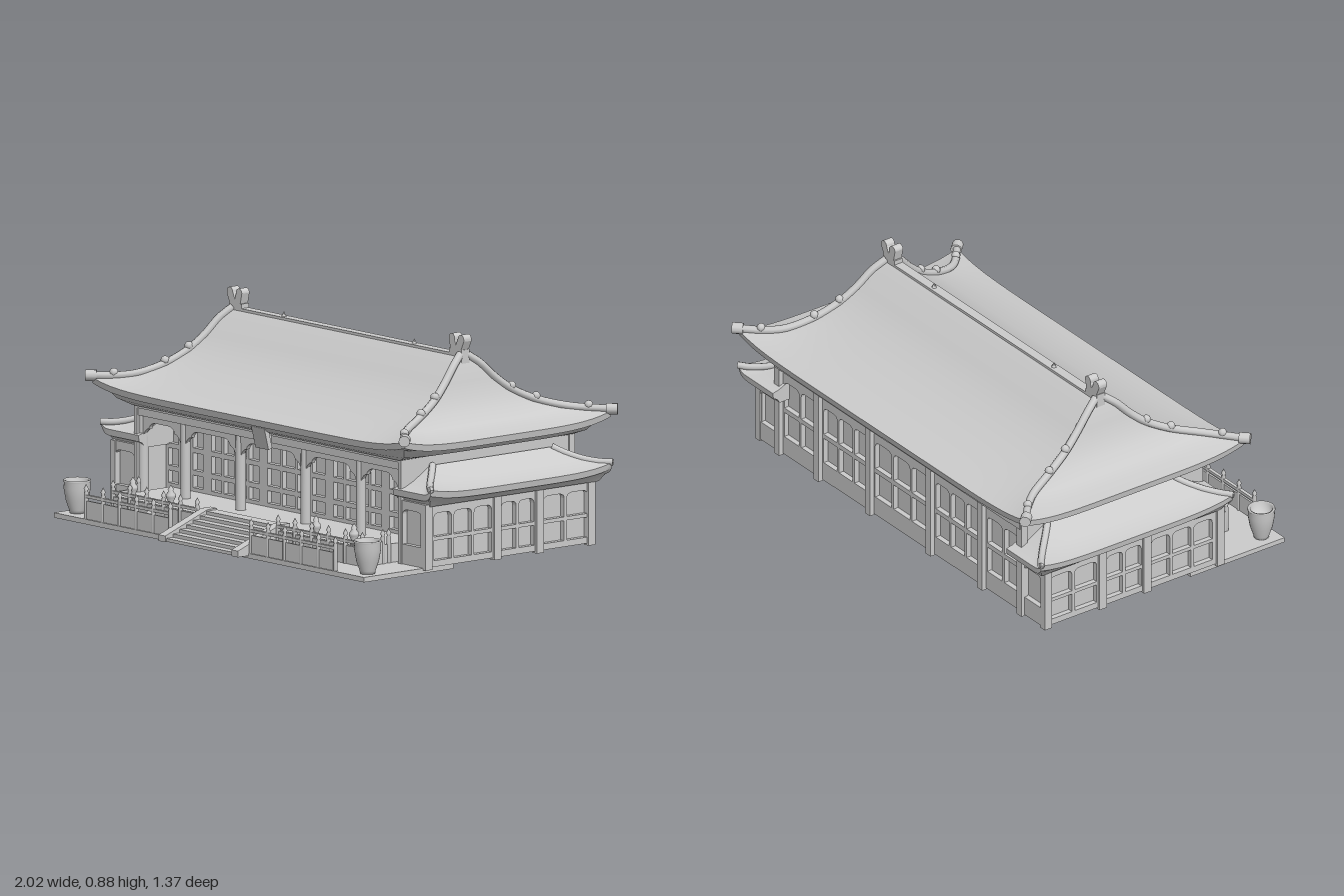
import * as THREE from 'three';
import { toCreasedNormals } from 'three/addons/utils/BufferGeometryUtils.js';

const mat = new THREE.MeshStandardMaterial({ color: 0xcccccc, side: THREE.DoubleSide });

function add(parent, name, geo, x = 0, y = 0, z = 0, ry = 0) {
  const m = new THREE.Mesh(geo, mat);
  m.name = name;
  m.position.set(x, y, z);
  m.rotation.y = ry;
  parent.add(m);
  return m;
}

// box given by its min and max corners
function box(parent, name, x0, x1, y0, y1, z0, z1) {
  return add(parent, name, new THREE.BoxGeometry(Math.abs(x1 - x0), y1 - y0, z1 - z0),
    (x0 + x1) / 2, (y0 + y1) / 2, (z0 + z1) / 2);
}

// rectangular loops joined top to bottom; corners sweep upward by each loop's lift
// ring: [x0, x1, z0, z1, y, lift]; side 0 lifts all corners, +1/-1 only that x side
function loopRoof(rings, side = 0, n = 20) {
  const pos = [], idx = [], count = 4 * n;
  for (const [xa, xb, z0, z1, y, lift] of rings) {
    const x0 = Math.min(xa, xb), x1 = Math.max(xa, xb);
    for (let j = 0; j < count; j++) {
      const t = (j % n) / n * 2 - 1, e = Math.floor(j / n);
      const [u, v] = [[t, 1], [1, -t], [-t, -1], [-1, t]][e];
      const uu = side ? Math.max(0, u * side) : Math.abs(u);
      pos.push(x0 + (u + 1) / 2 * (x1 - x0), y + lift * uu ** 8 * Math.abs(v) ** 5, z0 + (v + 1) / 2 * (z1 - z0));
    }
  }
  for (let i = 0; i < rings.length - 1; i++) for (let j = 0; j < count; j++) {
    const a = i * count + j, b = i * count + (j + 1) % count, c = a + count, d = b + count;
    idx.push(a, c, b, b, c, d);
  }
  const g = new THREE.BufferGeometry();
  g.setAttribute('position', new THREE.Float32BufferAttribute(pos, 3));
  g.setIndex(idx);
  return toCreasedNormals(g, 0.6);
}

function tube(parent, name, points, r) {
  const curve = new THREE.CatmullRomCurve3(points.map(p => new THREE.Vector3(...p)));
  return add(parent, name, new THREE.TubeGeometry(curve, 24, r, 8));
}

// wall panel with recessed panes, the top row arched; rows: [[y0, y1], ...]
function panel(parent, name, w, h, cols, rows, x, y, z, ry) {
  const s = new THREE.Shape([[-w / 2, 0], [w / 2, 0], [w / 2, h], [-w / 2, h]].map(p => new THREE.Vector2(...p)));
  const m = Math.min(0.025, w * 0.12), gap = 0.014, cw = (w - 2 * m - gap * (cols - 1)) / cols;
  for (let c = 0; c < cols; c++) rows.forEach(([a, b], r) => {
    const l = -w / 2 + m + c * (cw + gap), k = r === rows.length - 1 ? 0.02 : 0, hole = new THREE.Path();
    hole.moveTo(l, a);
    hole.lineTo(l, b - k);
    if (k) {
      hole.quadraticCurveTo(l, b, l + cw * 0.3, b);
      hole.lineTo(l + cw * 0.7, b);
      hole.quadraticCurveTo(l + cw, b, l + cw, b - k);
    } else hole.lineTo(l + cw, b);
    hole.lineTo(l + cw, a);
    s.holes.push(hole);
  });
  const g = new THREE.Group();
  g.name = name;
  g.position.set(x, y, z);
  g.rotation.y = ry;
  add(g, 'frame', new THREE.ExtrudeGeometry(s, { depth: 0.022, bevelEnabled: false, curveSegments: 5 }), 0, 0, -0.022);
  add(g, 'recess', new THREE.PlaneGeometry(w, h), 0, h / 2, -0.022);
  parent.add(g);
}

const lathe = (pts, seg = 20) => new THREE.LatheGeometry(pts.map(p => new THREE.Vector2(...p)), seg);

export function createModel() {
  const root = new THREE.Group();
  root.name = 'hall';

  // main roof: concave slopes, thick eave, stepped soffit
  const ring = (hx, hz, y, lift, cz) => [-hx, hx, cz - hz, cz + hz, y, lift];
  const slope = [[0.69, 0.015, 0.79, 0], [0.71, 0.07, 0.75, 0], [0.725, 0.13, 0.69, 0], [0.745, 0.2, 0.635, 0],
    [0.775, 0.3, 0.58, 0.005], [0.82, 0.41, 0.537, 0.015], [0.88, 0.48, 0.517, 0.025], [0.95, 0.54, 0.505, 0.035]]
    .map(([hx, hz, y, l], i) => ring(hx, hz, y, l, -0.115 - 0.013 * i / 7));
  const eave = [[0.945, 0.535, 0.478, 0.035], [0.9, 0.5, 0.475, 0.02], [0.87, 0.475, 0.448, 0.01], [0.81, 0.445, 0.435, 0]]
    .map(([hx, hz, y, l]) => ring(hx, hz, y, l, -0.128));
  add(root, 'mainRoof', loopRoof([...slope, ...eave], 0, 32));
  box(root, 'ceiling', -0.81, 0.81, 0.425, 0.437, -0.57, 0.31);

  // ridge, end finials, hip ridges
  box(root, 'ridge', -0.68, 0.68, 0.77, 0.797, -0.135, -0.095);
  for (const s of [-1, 1]) {
    add(root, 'ridgeStud', new THREE.ConeGeometry(0.015, 0.03, 6), s * 0.395, 0.803, -0.115);
    box(root, 'finialBase', s * 0.63, s * 0.705, 0.76, 0.815, -0.135, -0.095);
    for (const [x0, x1] of [[0.66, 0.645], [0.675, 0.7]]) {
      const fin = new THREE.Shape();
      fin.moveTo(x0 - 0.02, 0.8);
      fin.lineTo(x0 + 0.02, 0.8);
      fin.lineTo(x1 + 0.018, 0.85);
      fin.absarc(x1, 0.857, 0.018, 0, Math.PI);
      const g = new THREE.ExtrudeGeometry(fin, { depth: 0.04, bevelEnabled: false });
      add(root, 'finialHorn', g, 0, 0, s > 0 ? -0.135 : -0.095, s > 0 ? 0 : Math.PI);
    }
    for (const f of [-1, 1]) {
      const pts = slope.map(([, x1, z0, z1, y, l]) => [s * x1, y + l + 0.006, f > 0 ? z1 : z0]);
      tube(root, 'hipRidge', pts, 0.016);
      for (const i of [3, 4, 6]) add(root, 'hipOrnament', new THREE.SphereGeometry(0.018, 8, 6), pts[i][0], pts[i][1] + 0.012, pts[i][2]);
      add(root, 'eaveTip', new THREE.CylinderGeometry(0.023, 0.023, 0.045, 10).rotateZ(Math.PI / 2), ...pts[7], s * f * -Math.PI / 4);
    }
  }

  // main body: back bays and upper side walls, recessed porch wall
  const edges = [-0.8, -0.54, -0.2, 0.2, 0.54, 0.8];
  for (let i = 0; i < 5; i++) {
    const w = edges[i + 1] - edges[i], x = (edges[i] + edges[i + 1]) / 2;
    panel(root, 'backBay', w, 0.42, i % 4 ? 3 : 2, [[0.08, 0.19], [0.21, 0.33]], x, 0.02, -0.57, Math.PI);
    panel(root, i === 2 ? 'doors' : 'porchBay', w, 0.42, i % 4 ? 4 : 3, [[0.09, 0.14], [0.16, 0.23], [0.25, 0.35]], x, 0.02, 0.16, 0);
  }
  edges.forEach(x => {
    add(root, 'frontColumn', new THREE.CylinderGeometry(0.02, 0.021, 0.42, 14), x * 0.985, 0.23, 0.28);
    box(root, 'backColumn', x - 0.017, x + 0.017, 0.015, 0.44, -0.59, -0.56);
  });
  for (const s of [-1, 1]) box(root, 'sideWall', s * 0.79, s * 0.81, 0.02, 0.445, -0.57, 0.31);
  box(root, 'frontBeam', -0.81, 0.81, 0.395, 0.445, 0.26, 0.305);
  box(root, 'backBeam', -0.81, 0.81, 0.41, 0.445, -0.595, -0.56);

  // scalloped valances between the front columns
  for (let i = 0; i < 5; i++) {
    const a = edges[i] * 0.985 + 0.015, b = edges[i + 1] * 0.985 - 0.015, v = new THREE.Shape();
    v.moveTo(a, 0.4);
    v.lineTo(a, 0.315);
    v.quadraticCurveTo(a + 0.015, 0.345, a + 0.035, 0.345);
    v.quadraticCurveTo(a + 0.04, 0.37, a + 0.075, 0.372);
    v.lineTo(b - 0.075, 0.372);
    v.quadraticCurveTo(b - 0.04, 0.37, b - 0.035, 0.345);
    v.quadraticCurveTo(b - 0.015, 0.345, b, 0.315);
    v.lineTo(b, 0.4);
    add(root, 'valance', new THREE.ExtrudeGeometry(v, { depth: 0.018, bevelEnabled: false }), 0, 0, 0.275);
  }
  const plaque = box(root, 'plaque', -0.04, 0.04, 0.375, 0.465, 0.33, 0.35);
  plaque.rotation.x = 0.25;
  box(root, 'plaqueBracket', -0.02, 0.02, 0.4, 0.44, 0.3, 0.335);

  // side wings with lean-to roofs
  for (const s of [-1, 1]) {
    const wr = [[0.82, 0.31, 0.4, 0], [0.86, 0.35, 0.375, 0], [0.91, 0.4, 0.345, 0.008], [0.96, 0.445, 0.325, 0.018], [1, 0.475, 0.318, 0.025],
      [0.995, 0.472, 0.292, 0.025], [0.975, 0.455, 0.285, 0.01], [0.955, 0.44, 0.265, 0], [0.94, 0.43, 0.265, 0]]
      .map(([x, hz, y, l]) => [s * 0.77, s * x, -0.155 - hz, -0.155 + hz, y, l]);
    add(root, 'wingRoof', loopRoof(wr, s));
    for (const f of [-1, 1]) tube(root, 'wingHip', wr.slice(0, 5).map(([, x, z0, z1, y, l]) => [x, y + l, f > 0 ? z1 : z0]), 0.014);
    const rows = [[0.025, 0.105], [0.12, 0.215]];
    for (const [z0, z1, c] of [[-0.57, -0.29, 2], [-0.29, -0.07, 2], [-0.07, 0.28, 3]])
      panel(root, 'wingBay', z1 - z0, 0.255, c, rows, s * 0.945, 0.02, (z0 + z1) / 2, s * Math.PI / 2);
    for (const z of [-0.56, -0.29, -0.07, 0.29]) box(root, 'wingPost', s * 0.925, s * 0.955, 0.012, 0.275, z - 0.018, z + 0.018);
    panel(root, 'wingFront', 0.15, 0.255, 1, [[0.08, 0.22]], s * 0.87, 0.02, 0.305, 0);
    panel(root, 'wingBack', 0.15, 0.255, 1, [[0.08, 0.22]], s * 0.87, 0.02, -0.575, Math.PI);
  }

  // ground slab, raised terrace, stairs
  box(root, 'groundSlab', -0.94, 0.94, 0, 0.02, 0.15, 0.615);
  box(root, 'terrace', -0.76, 0.76, 0.02, 0.095, 0.15, 0.46);
  for (let i = 0; i < 7; i++) box(root, 'step', -0.2, 0.2, 0.012, 0.025 + i * 0.014, 0.4, 0.665 - i * 0.035);
  const cheek = new THREE.Shape([[0.4, 0.01], [0.67, 0.01], [0.67, 0.035], [0.45, 0.115], [0.4, 0.115]].map(p => new THREE.Vector2(...p)));
  const cheekGeo = new THREE.ExtrudeGeometry(cheek, { depth: 0.04, bevelEnabled: false }).rotateY(-Math.PI / 2);
  for (const s of [-1, 1]) add(root, 'stairCheek', cheekGeo, s * 0.22 + 0.02, 0, 0);

  // balustrades, urns and incense burners
  const urn = lathe([[0, 0], [0.03, 0], [0.032, 0.012], [0.045, 0.05], [0.054, 0.1], [0.052, 0.122], [0.056, 0.128], [0.054, 0.134], [0.044, 0.13], [0.04, 0.09], [0, 0.08]], 24);
  const burner = lathe([[0, 0], [0.016, 0], [0.01, 0.015], [0.02, 0.035], [0.02, 0.045], [0.009, 0.06], [0.013, 0.065], [0, 0.085]], 12);
  const post = lathe([[0, 0], [0.009, 0], [0.009, 0.105], [0.006, 0.11], [0.01, 0.12], [0, 0.14]], 8);
  for (const s of [-1, 1]) {
    for (const [z, y, h] of [[0.605, 0.02, 0.085], [0.465, 0.02, 0.085]]) {
      box(root, 'railPanel', s * 0.24, s * 0.75, y, y + h - 0.012, z - 0.004, z + 0.004);
      box(root, 'handrail', s * 0.24, s * 0.76, y + h, y + h + 0.012, z - 0.007, z + 0.007);
      for (let i = 0; i < 6; i++) add(root, 'railPost', post, s * (0.245 + i * 0.102), y, z);
    }
    box(root, 'endRail', s * 0.752, s * 0.762, 0.02, 0.11, 0.36, 0.465);
    for (const z of [0.33, 0.36]) add(root, 'endPost', post, s * 0.757, 0.02, z);
    add(root, 'urn', urn, s * 0.88, 0.02, 0.545);
    for (const [x, y, z] of [[0.44, 0.095, 0.435], [0.67, 0.095, 0.435], [0.415, 0.02, 0.57]]) add(root, 'incenseBurner', burner, s * x, y, z);
  }
  return root;
}
